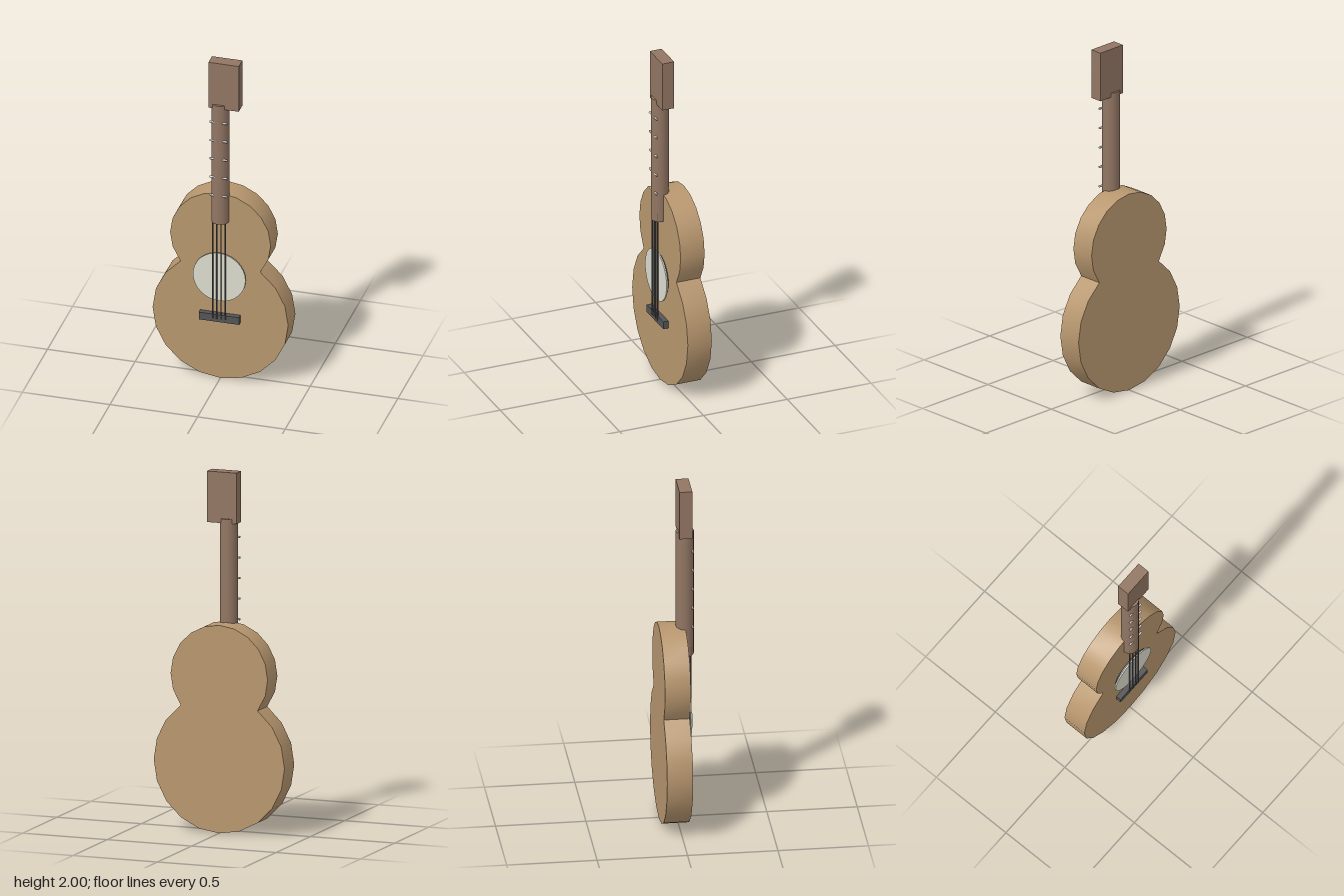
import * as THREE from 'three';
import { toCreasedNormals } from 'three/addons/utils/BufferGeometryUtils.js';

const mat = (color) => new THREE.MeshStandardMaterial({ color });

export function createModel() {
  const group = new THREE.Group();
  const wood = mat(0xb8976f);
  const darkWood = mat(0x927663);
  const ivory = mat(0xdcdccf);
  const metal = mat(0xcccccc);
  const dark = mat(0x555555);

  const add = (name, geometry, material, x, y, z) => {
    const mesh = new THREE.Mesh(geometry, material);
    mesh.name = name;
    mesh.position.set(x, y, z);
    group.add(mesh);
    return mesh;
  };

  // Body: two faceted round bouts meeting at a sharp waist
  const outline = [];
  const arc = (cy, r, from, to) => {
    for (let a = from; a <= to; a += 18) {
      const t = THREE.MathUtils.degToRad(a);
      outline.push(new THREE.Vector2(r * Math.cos(t), cy + r * Math.sin(t)));
    }
  };
  arc(0.39, 0.387, -234, 54);
  arc(0.878, 0.287, -18, 198);
  const body = new THREE.ExtrudeGeometry(new THREE.Shape(outline), { depth: 0.143, bevelEnabled: false });
  add('body', toCreasedNormals(body, 0.5), wood, 0, 0, -0.098);

  // Neck and offset headstock
  add('neck', new THREE.CylinderGeometry(0.05, 0.05, 0.745, 20), darkWood, 0, 1.3675, 0.046);
  add('headstock', new THREE.BoxGeometry(0.173, 0.285, 0.071), darkWood, 0.0285, 1.8575, 0.0455);

  // Frets: thin bars whose ends stick out of the neck
  for (let i = 0; i < 5; i++) {
    const fret = add('fret', new THREE.CylinderGeometry(0.006, 0.006, 0.1, 8), metal, 0, 1.17 + i * 0.115, 0.085);
    fret.rotation.z = Math.PI / 2;
  }

  // Sound hole and the disc in front of it
  const hole = add('soundHole', new THREE.CylinderGeometry(0.13, 0.13, 0.012, 32), dark, 0, 0.65, 0.056);
  const rosette = add('rosette', new THREE.CylinderGeometry(0.15, 0.15, 0.008, 32), ivory, 0, 0.65, 0.066);
  hole.rotation.x = rosette.rotation.x = Math.PI / 2;

  // Bridge and strings
  add('bridge', new THREE.BoxGeometry(0.23, 0.045, 0.03), dark, 0, 0.3925, 0.06);
  for (let i = 0; i < 4; i++) {
    add('string', new THREE.CylinderGeometry(0.004, 0.004, 0.66, 8), dark, -0.036 + i * 0.024, 0.72, 0.075);
  }

  return group;
}
